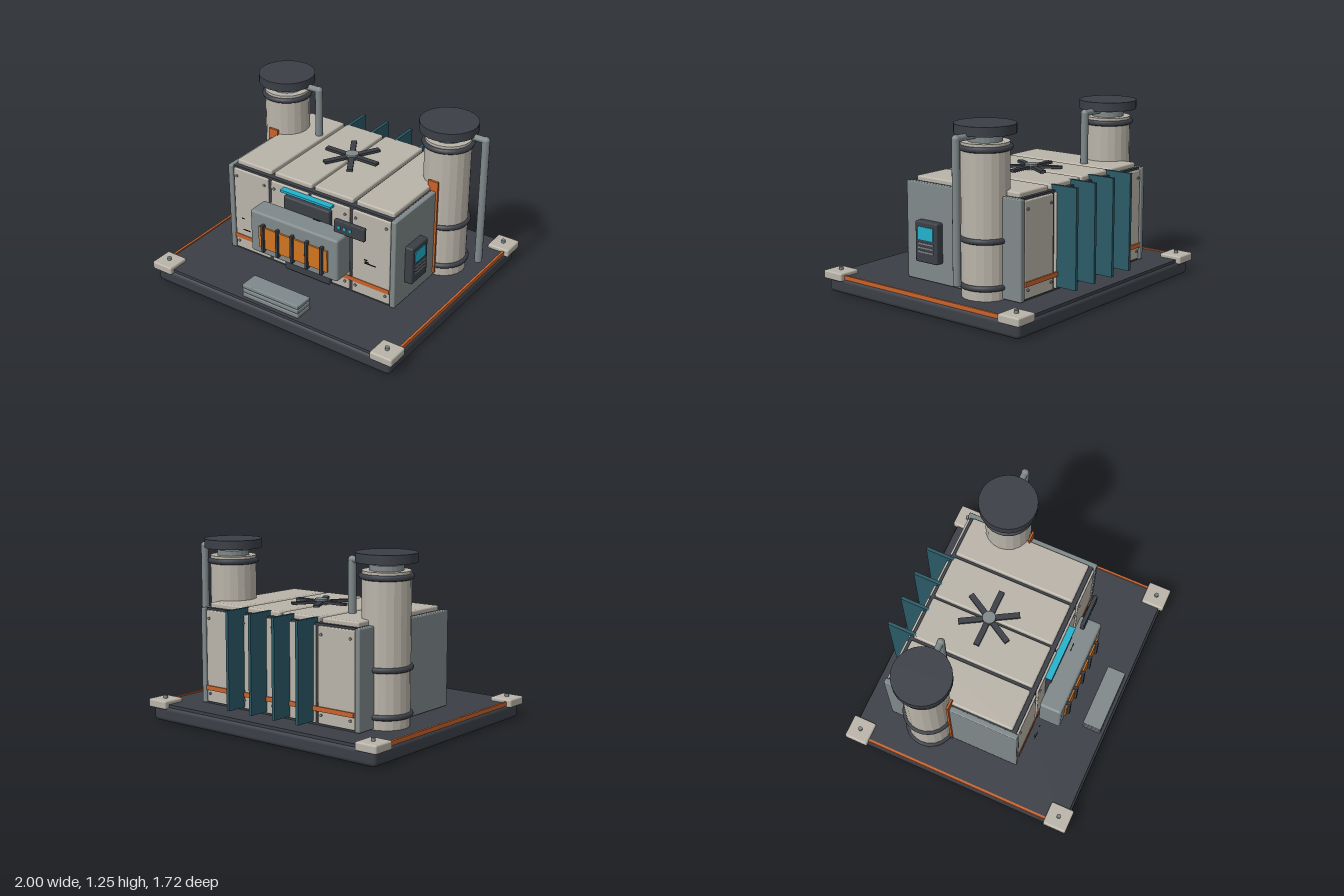
import * as THREE from 'three';
import { RoundedBoxGeometry } from 'three/addons/geometries/RoundedBoxGeometry.js';

const mat = (name, color) => {
  const m = new THREE.MeshStandardMaterial({ color });
  m.name = name;
  return m;
};

export function createModel() {
  const root = new THREE.Group();
  root.name = 'generatorUnit';
  const cream = mat('creamPanel', 0xbab4a9);
  const dark = mat('darkMetal', 0x3b3f46);
  const black = mat('blackMetal', 0x24272b);
  const gray = mat('grayMetal', 0x7f888a);
  const orange = mat('orangeTrim', 0xc8622c);
  const amber = mat('amberGlow', 0xd07420);
  const teal = mat('tealFin', 0x2b5a67);
  const cyan = mat('cyanLight', 0x22b2cd);

  const add = (name, geo, material, x, y, z, parent = root) => {
    const m = new THREE.Mesh(geo, material);
    m.name = name;
    m.position.set(x, y, z);
    parent.add(m);
    return m;
  };
  // Box given by its extents; r > 0 rounds the edges
  const box = (name, material, [x0, x1], [y0, y1], [z0, z1], r = 0, parent = root) => {
    const s = [x1 - x0, y1 - y0, z1 - z0];
    const geo = r ? new RoundedBoxGeometry(...s, 2, r) : new THREE.BoxGeometry(...s);
    return add(name, geo, material, (x0 + x1) / 2, (y0 + y1) / 2, (z0 + z1) / 2, parent);
  };
  const faceted = (r, h, n) => {
    const g = new THREE.CylinderGeometry(r, r, h, n).toNonIndexed();
    g.computeVertexNormals();
    return g;
  };
  const mirror = (a, b, s) => (s > 0 ? [a, b] : [-b, -a]);

  // Base slab, deck, edge strips and corner feet
  box('baseSlab', dark, [-0.973, 0.973], [0, 0.11], [-0.838, 0.838], 0.03);
  box('baseDeck', dark, [-0.95, 0.95], [0.1, 0.125], [-0.825, 0.825]);
  for (const sx of [-1, 1]) {
    box('edgeStrip', orange, mirror(0.95, 0.967, sx), [0.105, 0.134], [-0.7, 0.7]);
    for (const sz of [-1, 1]) {
      box('cornerBlock', cream, mirror(0.833, 1, sx), [0.093, 0.152], mirror(0.69, 0.86, sz), 0.012);
      add('cornerBolt', new THREE.CylinderGeometry(0.015, 0.015, 0.03, 10), gray, sx * 0.915, 0.158, sz * 0.775);
    }
  }

  // Housing core and side plates
  box('housingCore', dark, [-0.66, 0.66], [0.12, 0.8], [-0.61, 0.33]);
  for (const s of [-1, 1]) {
    box('sidePlate', gray, mirror(0.655, 0.695, s), [0.13, 0.8], [-0.633, 0.35], 0.008);
    box('orangeUpright', orange, mirror(0.632, 0.71, s), [0.155, 0.872], [-0.158, -0.143]);
  }

  // Four bays of wall and roof panels
  const bays = [[-0.65, -0.35], [-0.325, -0.01], [0.01, 0.325], [0.35, 0.65]];
  for (const [a, b] of bays) {
    box('roofPanel', cream, [a, b], [0.79, 0.833], [-0.585, 0.3], 0.012);
    for (const [z0, z1, s] of [[0.31, 0.345, 1], [-0.628, -0.59, -1]]) {
      box('wallPanel', cream, [a, b], [0.14, 0.785], [z0, z1], 0.008);
      for (const x of [a + 0.03, b - 0.03]) for (const y of [0.2, 0.73]) {
        const bolt = add('panelBolt', new THREE.CylinderGeometry(0.01, 0.01, 0.012, 8), gray, x, y, s > 0 ? 0.347 : -0.63);
        bolt.rotation.x = Math.PI / 2;
      }
    }
  }
  box('frontStripe', orange, [-0.65, 0.65], [0.225, 0.257], [0.343, 0.35]);
  box('backStripe', orange, [-0.65, 0.65], [0.225, 0.257], [-0.638, -0.626]);

  // Front grille with its backing
  box('grilleBacking', dark, [-0.192, 0.188], [0.14, 0.727], [0.33, 0.382], 0.012);
  box('grilleHousing', gray, [-0.363, 0.36], [0.312, 0.635], [0.372, 0.533], 0.018);
  box('grilleGlow', amber, [-0.285, 0.285], [0.37, 0.535], [0.52, 0.545]);
  for (let i = -2; i <= 2; i++) {
    box('grilleBar', dark, [i * 0.122 - 0.011, i * 0.122 + 0.011], [0.345, 0.56], [0.53, 0.562], 0.004);
  }
  box('frontLightStrip', cyan, [-0.21, 0.205], [0.757, 0.773], [0.34, 0.392]);

  // Front control box
  box('controlBox', dark, [0.265, 0.505], [0.628, 0.726], [0.405, 0.435], 0.006);
  for (const x of [0.31, 0.352, 0.395]) {
    box('controlLight', cyan, [x - 0.01, x + 0.01], [0.668, 0.688], [0.432, 0.44]);
  }

  // Small scuff marks on the front
  const scuffs = [[-0.525, 0.447, 0.02], [-0.495, 0.358, 0.06], [-0.435, 0.402, 0.014],
    [0.505, 0.482, 0.025], [0.54, 0.457, 0.09], [0.515, 0.468, 0.03], [0.11, 0.655, 0.06]];
  for (const [x, y, w] of scuffs) {
    box('scuff', black, [x - w / 2, x + w / 2], [y - 0.003, y + 0.003], [0.41, 0.415]);
  }

  // Front step made of three slats
  for (let i = 0; i < 3; i++) {
    const y = 0.125 + i * 0.034;
    box('stepSlat', gray, [-0.235, 0.232], [y, y + 0.03], [0.665, 0.803], 0.006);
  }

  // Side console
  box('sideConsole', dark, [0.68, 0.752], [0.272, 0.553], [0.03, 0.225], 0.012);
  box('consoleScreen', cyan, [0.749, 0.757], [0.43, 0.517], [0.062, 0.193]);
  for (const y of [0.402, 0.374, 0.346]) {
    box('consoleSlat', gray, [0.749, 0.756], [y - 0.005, y + 0.005], [0.06, 0.195]);
  }

  // Back cooling fins
  for (const x of [-0.305, -0.102, 0.102, 0.305]) {
    box('coolingFin', teal, [x - 0.011, x + 0.011], [0.152, 0.833], [-0.782, -0.563]);
  }

  // Roof fan
  const fan = new THREE.Group();
  fan.name = 'roofFan';
  fan.position.set(0, 0.85, -0.166);
  root.add(fan);
  for (let i = 0; i < 3; i++) {
    const blade = box('fanBlade', dark, [-0.212, 0.212], [-0.008, 0.01], [-0.02, 0.02], 0, fan);
    blade.rotation.y = i * Math.PI / 3;
  }
  add('fanHub', new THREE.CylinderGeometry(0.046, 0.046, 0.04, 16), gray, 0, 0.003, 0, fan);

  // Two exhaust towers with caps and pipes
  for (const x of [-0.673, 0.673]) {
    const tower = new THREE.Group();
    tower.name = 'exhaustTower';
    tower.position.set(x, 0, -0.325);
    root.add(tower);
    add('towerBody', faceted(0.161, 1.02, 20), cream, 0, 0.63, 0, tower);
    add('towerNeck', faceted(0.113, 0.05, 20), gray, 0, 1.152, 0, tower);
    add('towerCap', new THREE.CylinderGeometry(0.202, 0.202, 0.062, 28), dark, 0, 1.224, 0, tower);
    for (const y of [0.207, 0.514, 1.103]) {
      const ring = add('towerRing', new THREE.TorusGeometry(0.162, 0.019, 8, 28), dark, 0, y, 0, tower);
      ring.rotation.x = Math.PI / 2;
    }
    const arm = add('pipeArm', new THREE.CylinderGeometry(0.023, 0.023, 0.19, 12), gray, 0.185, 1.187, 0, tower);
    arm.rotation.z = Math.PI / 2;
    add('pipeElbow', new THREE.SphereGeometry(0.028, 12, 8), gray, 0.28, 1.185, 0, tower);
    add('pipeDrop', new THREE.CylinderGeometry(0.027, 0.027, 0.935, 12), gray, 0.28, 0.717, 0, tower);
  }
  return root;
}
